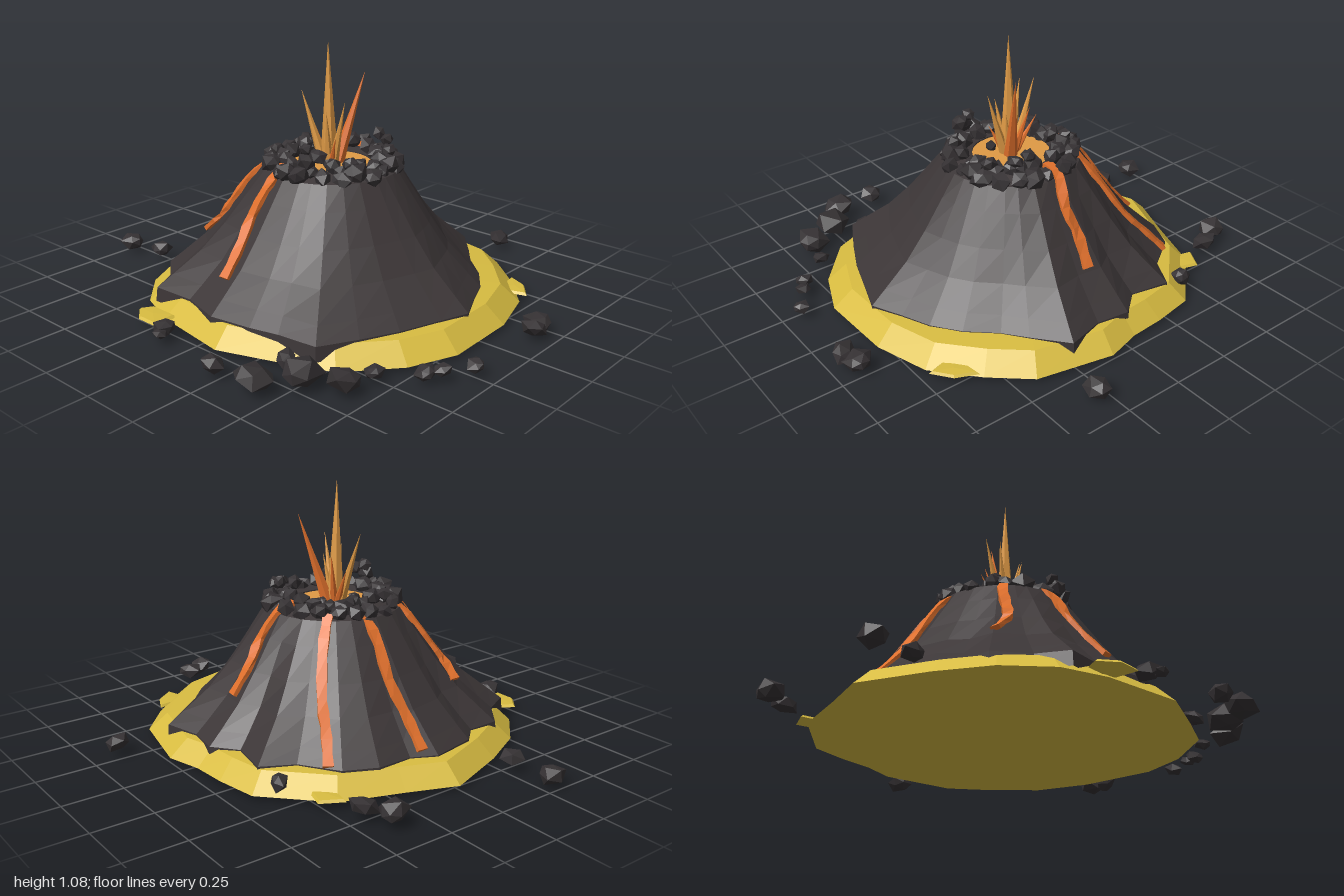
import * as THREE from 'three';

const mat = (name, color) => {
  const m = new THREE.MeshStandardMaterial({ color, flatShading: true });
  m.name = name;
  return m;
};

// small seeded random generator
let seed = 7;
const rnd = (a = 0, b = 1) => {
  seed = (seed * 16807) % 2147483647;
  return a + (b - a) * (seed / 2147483647);
};

// closed rings of equal length, joined into one skin
function loft(rings) {
  const n = rings[0].length, pos = rings.flat(2), idx = [];
  for (let j = 0; j < rings.length - 1; j++) {
    for (let i = 0; i < n; i++) {
      const a = j * n + i, b = j * n + (i + 1) % n;
      idx.push(a, a + n, b, b, a + n, b + n);
    }
  }
  const g = new THREE.BufferGeometry();
  g.setAttribute('position', new THREE.Float32BufferAttribute(pos, 3));
  g.setIndex(idx);
  g.computeVertexNormals();
  return g;
}

// flat band with a rectangular section along a path of points
function bandGeometry(points, width, thick) {
  const curve = new THREE.CatmullRomCurve3(points), up = new THREE.Vector3(0, 1, 0), rings = [];
  const steps = 10;
  for (let i = 0; i <= steps; i++) {
    const p = curve.getPoint(i / steps), t = curve.getTangent(i / steps);
    const s = t.clone().cross(up).normalize(), n = s.clone().cross(t);
    const ring = (k) => [[1, -1], [1, 1], [-1, 1], [-1, -1]].map(([a, b]) => p.clone()
      .addScaledVector(s, a * k * width / 2).addScaledVector(n, b * k * thick / 2).toArray());
    if (i === 0) rings.push(ring(0));
    rings.push(ring(i % 2 ? 0.9 : 1.08));
    if (i === steps) rings.push(ring(0));
  }
  return loft(rings);
}

// faceted boulder, its corners pushed in and out by a wave
function rockGeometry(k) {
  const g = new THREE.IcosahedronGeometry(1, 0), p = g.attributes.position;
  const v = new THREE.Vector3();
  for (let i = 0; i < p.count; i++) {
    v.fromBufferAttribute(p, i);
    v.multiplyScalar(1 + 0.27 * Math.sin(v.x * 7 + v.y * 5 + v.z * 9 + k));
    p.setXYZ(i, v.x, v.y, v.z);
  }
  g.computeVertexNormals();
  return g;
}

// outlines as x, z, turning from +x towards +z
const islandEdge = [
  [0.8, 0.18], [0.72, 0.38], [0.55, 0.58], [0.35, 0.66], [0.1, 0.75], [-0.25, 0.7], [-0.43, 0.63],
  [-0.58, 0.48], [-0.68, 0.28], [-0.78, 0], [-0.7, -0.2], [-0.61, -0.45], [-0.38, -0.67],
  [-0.2, -0.7], [-0.05, -0.71], [0.1, -0.75], [0.42, -0.68], [0.57, -0.55], [0.72, -0.38], [0.79, -0.15]];
const mountainEdge = [
  [0.72, 0], [0.68, 0.12], [0.62, 0.3], [0.55, 0.45], [0.47, 0.6], [0.3, 0.62], [0.18, 0.65], [0, 0.68],
  [-0.18, 0.63], [-0.37, 0.64], [-0.43, 0.52], [-0.55, 0.42], [-0.55, 0.28], [-0.62, 0.2], [-0.66, 0],
  [-0.61, -0.1], [-0.61, -0.25], [-0.55, -0.38], [-0.4, -0.48], [-0.33, -0.61], [-0.16, -0.58],
  [-0.06, -0.66], [0.08, -0.64], [0.24, -0.68], [0.35, -0.55], [0.42, -0.46], [0.53, -0.36], [0.61, -0.25],
  [0.66, -0.13]];

export function createModel() {
  seed = 7;
  const model = new THREE.Group();
  const sand = mat('sand', 0xd8bc41);
  const slope = mat('darkSlope', 0x3c3637);
  const stone = mat('blackStone', 0x353133);
  const lava = mat('orangeLava', 0xe0702c);
  const glow = mat('amberLava', 0xdf9a45);

  const add = (name, geo, material, parent = model) => {
    const m = new THREE.Mesh(geo, material);
    m.name = name;
    parent.add(m);
    return m;
  };
  const group = (name) => {
    const g = new THREE.Group();
    g.name = name;
    model.add(g);
    return g;
  };

  // sandy island with closed underside: scale, height
  const islandLevels = [[0, 0], [1, 0], [0.9, 0.072], [0.75, 0.08], [0, 0.08]];
  add('island', loft(islandLevels.map(([s, y]) => islandEdge.map(([x, z]) => [x * s, y, z * s]))), sand);

  // flat sand patches at the shore
  const patches = [
    [[0.58, -0.54], [0.67, -0.5], [0.73, -0.42], [0.6, -0.38]],
    [[-0.65, -0.44], [-0.6, -0.53], [-0.5, -0.5], [-0.53, -0.41]],
    [[-0.2, 0.68], [-0.2, 0.79], [-0.3, 0.79], [-0.37, 0.73], [-0.34, 0.68]]];
  const shore = group('shorePatches');
  for (const p of patches) {
    const c = p.reduce((s, q) => [s[0] + q[0] / p.length, s[1] + q[1] / p.length], [0, 0]);
    const ring = (s, y) => p.map(([x, z]) => [c[0] + (x - c[0]) * s, y, c[1] + (z - c[1]) * s]);
    // wind each patch from +x towards +z
    const order = p === patches[1] ? (r) => r : (r) => r;
    add('shorePatch', loft([ring(0, 0.008), ring(1, 0.014), ring(0.85, 0.024), ring(0, 0.026)].map(order)), sand, shore);
  }

  // mountain levels: height, mean radius, strength of the jagged outline
  const levels = [[0.02, 0.653, 1], [0.08, 0.648, 1], [0.13, 0.595, 0.95], [0.22, 0.505, 0.75], [0.33, 0.425, 0.5],
    [0.45, 0.345, 0.3], [0.54, 0.285, 0.1], [0.565, 0.21, 0], [0.555, 0.165, 0], [0.5, 0.16, 0]];
  const mountain = add('mountain', loft(levels.map(([y, r, w]) => mountainEdge.map(([x, z]) => {
    const d = Math.hypot(x, z), k = r * (1 + (d / 0.65 - 1) * w) / d;
    return [x * k + 0.03 * y, y, z * k];
  }))), slope);

  // lava pool in the crater
  const pool = add('lavaPool', new THREE.CircleGeometry(0.175, 24).rotateX(-Math.PI / 2), glow);
  pool.position.set(0.017, 0.55, 0);

  // lava streams laid on the slope
  const ray = new THREE.Raycaster(), down = new THREE.Vector3(0, -1, 0);
  mountain.updateMatrixWorld(true);
  const onSlope = ([x, z], i) => {
    ray.set(new THREE.Vector3(x, 2, z), down);
    const hit = ray.intersectObject(mountain)[0];
    return new THREE.Vector3(x, (hit ? hit.point.y : 0.1) + 0.012 + 0.012 * Math.sin(i * Math.PI / 4), z);
  };
  const streams = group('lavaStreams');
  const paths = [
    [[-0.18, -0.17], [-0.24, -0.24], [-0.34, -0.32], [-0.42, -0.36], [-0.5, -0.41]],
    [[-0.21, -0.04], [-0.32, -0.04], [-0.42, -0.055], [-0.52, -0.045], [-0.62, -0.05]],
    [[-0.17, 0.17], [-0.24, 0.22], [-0.29, 0.28], [-0.33, 0.32], [-0.4, 0.32]],
    [[-0.04, 0.22], [-0.04, 0.31], [-0.06, 0.39], [-0.05, 0.47], [-0.045, 0.56]],
    [[0.0, -0.21], [0.0, -0.28], [0.025, -0.36], [0.01, -0.42], [0.02, -0.5]]];
  for (const path of paths) add('lavaStream', bandGeometry(path.map(onSlope), 0.04, 0.018), lava, streams);

  // boulders
  const rocks = [0, 1.7, 3.1, 4.6].map(rockGeometry);
  const addRock = (name, parent, x, y, z, r, flat = 1) => {
    const m = add(name, rocks[Math.floor(rnd(0, 4))], stone, parent);
    m.position.set(x, y, z);
    m.scale.set(r * rnd(0.9, 1.15), r * flat, r * rnd(0.9, 1.15));
    m.rotation.set(rnd(-0.3, 0.3), rnd(0, 6.28), rnd(-0.3, 0.3));
  };

  // crater rim in two staggered rows
  const rim = group('craterRim');
  for (const [n, r, y, size] of [[21, 0.2, 0.575, 0.038], [24, 0.26, 0.555, 0.041]]) {
    for (let i = 0; i < n; i++) {
      const a = (i + rnd(-0.25, 0.25)) / n * Math.PI * 2, d = r + rnd(-0.012, 0.018);
      addRock('rimRock', rim, 0.025 + Math.cos(a) * d, y + rnd(-0.012, 0.015), Math.sin(a) * d, size * rnd(0.8, 1.15));
    }
  }
  // higher piles on the rim
  for (const [x, y, z, r] of [[0.08, 0.66, 0.22, 0.027], [0.13, 0.64, 0.21, 0.035], [0.1, 0.62, 0.23, 0.035],
    [0.15, 0.63, -0.2, 0.03], [0.09, 0.64, -0.22, 0.028], [0.22, 0.61, -0.12, 0.032], [0.22, 0.61, 0.13, 0.032],
    [-0.17, 0.6, 0.13, 0.03], [-0.2, 0.595, -0.08, 0.03]]) addRock('rimPileRock', rim, x, y, z, r);
  // stones afloat in the pool
  for (const [x, z] of [[-0.01, -0.07], [-0.03, 0.08], [0.07, 0.08]]) addRock('poolStone', rim, x, 0.56, z, 0.025);

  // loose boulders around the island: x, z, radius
  const loose = group('looseRocks');
  for (const [x, z, r] of [[0.3, -0.88, 0.052], [-0.85, -0.39, 0.06], [-0.74, -0.43, 0.055], [0.91, -0.22, 0.052],
    [0.93, -0.14, 0.055], [0.925, 0.24, 0.037], [0.85, 0.35, 0.035], [0.825, 0.41, 0.038], [0.68, 0.53, 0.034],
    [0.66, 0.64, 0.066], [0.38, 0.66, 0.04], [0.52, 0.74, 0.08], [0.41, 0.85, 0.072], [0.22, 0.87, 0.053],
    [-0.14, 0.78, 0.048], [-0.12, 0.83, 0.028], [-0.77, 0.29, 0.049], [-0.95, 0.3, 0.056]]) {
    addRock('looseRock', loose, x, 0.014 + r * 0.4, z, r, 0.68);
  }
  addRock('looseRock', loose, -0.43, 0.06, -0.59, 0.038);

  // erupting spikes: tip x, y, z, base radius, material
  const spikes = group('eruption');
  for (const [x, y, z, r, m] of [[0.015, 1.06, 0.02, 0.04, glow], [0.09, 0.925, -0.125, 0.03, lava],
    [-0.125, 0.845, 0.03, 0.025, glow], [-0.08, 0.84, 0.07, 0.025, glow], [0.115, 0.825, 0.03, 0.023, glow],
    [0.05, 0.78, 0.07, 0.023, glow], [-0.04, 0.76, -0.05, 0.02, lava], [0.06, 0.75, -0.02, 0.02, glow],
    [-0.1, 0.7, -0.02, 0.018, lava], [0.09, 0.67, 0.06, 0.018, lava]]) {
    const base = new THREE.Vector3(0.015 + x * 0.2, 0.54, 0.01 + z * 0.2);
    const dir = new THREE.Vector3(x, y, z).sub(base), len = dir.length();
    const spike = add('spike', new THREE.ConeGeometry(r, len, 6).translate(0, len / 2, 0), m, spikes);
    spike.position.copy(base);
    spike.quaternion.setFromUnitVectors(new THREE.Vector3(0, 1, 0), dir.normalize());
  }
  return model;
}
